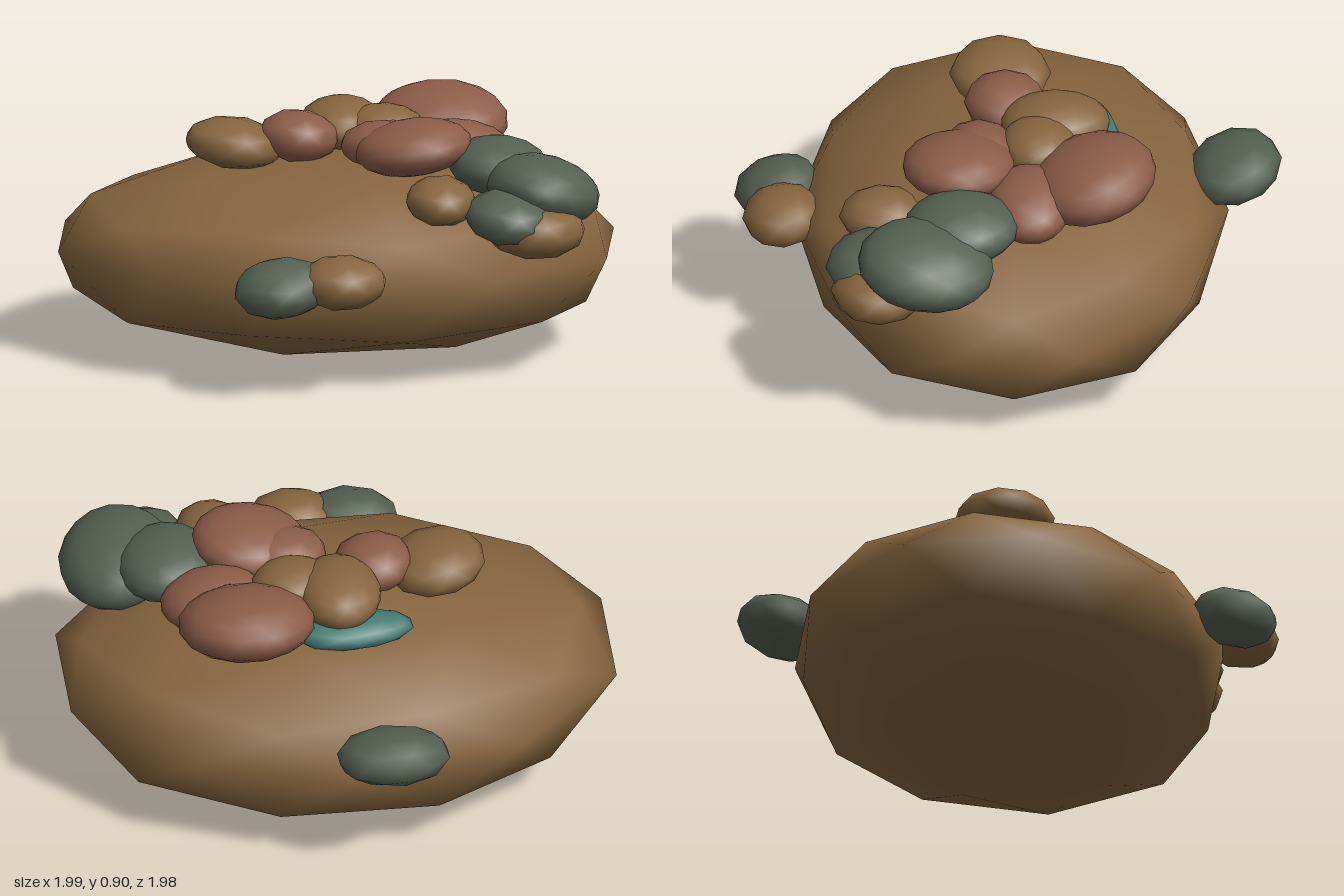
import * as THREE from 'three';
import { mergeVertices } from 'three/addons/utils/BufferGeometryUtils.js';

const flat = (name, color) => Object.assign(new THREE.MeshStandardMaterial({ color }), { name });

// Unit icosphere standing on one of its corners
function icosphere(detail) {
  const g = new THREE.IcosahedronGeometry(1, detail);
  return g.rotateZ(-Math.atan(2 / (1 + Math.sqrt(5))));
}

// Big flattened boulder: a coarse icosphere, squashed, with a fuller lower belt
function boulderGeometry() {
  let g = icosphere(1);
  g.deleteAttribute('normal');
  g.deleteAttribute('uv');
  g = mergeVertices(g, 1e-3);
  const p = g.attributes.position;
  for (let i = 0; i < p.count; i++) {
    const x = p.getX(i), y = p.getY(i), z = p.getZ(i);
    const belt = y < -0.3 && y > -0.6 ? 1 : 0;
    const equator = Math.abs(y) < 0.1 ? 0.03 : 0;
    const slope = y > 0.8 ? 0.03 * x + 0.005 : 0;
    p.setXYZ(i, x * (1.045 + 0.02 * belt), 0.362 + y * 0.36 + equator + slope, z * (0.79 + 0.05 * belt) - 0.012);
  }
  g.computeVertexNormals();
  return g;
}

export function createModel() {
  const model = new THREE.Group();
  model.name = 'pebbledBoulder';
  const brown = flat('brown', 0x86653f);
  const red = flat('rust', 0x8c5c49);
  const green = flat('mossGrey', 0x556051);
  const teal = flat('teal', 0x457b73);

  const boulder = new THREE.Mesh(boulderGeometry(), brown);
  boulder.name = 'boulder';
  model.add(boulder);

  // Pebbles: flattened, slightly tilted stones, coarse or fine
  const coarse = icosphere(1);
  const fine = icosphere(2);
  const pebble = (name, stone, mat, centre, radii, tilt = [0, 0, 0]) => {
    const m = new THREE.Mesh(stone, mat);
    m.name = name;
    m.position.set(...centre);
    m.scale.set(...radii);
    m.rotation.set(...tilt);
    model.add(m);
  };

  // Rim pebbles
  pebble('backPebble', coarse, green, [-0.115, 0.505, -0.825], [0.21, 0.1, 0.175], [0.22, 0, 0]);
  pebble('frontGreenPebble', coarse, green, [-0.155, 0.41, 0.83], [0.175, 0.1, 0.16], [0.25, 0, 0.1]);
  pebble('frontBrownPebble', coarse, brown, [0.065, 0.43, 0.815], [0.165, 0.097, 0.145], [0.1, 0, 0]);

  // Row across the top
  pebble('rightBrownPebble', coarse, brown, [-0.365, 0.755, 0.02], [0.185, 0.09, 0.185], [0, 0, -0.12]);
  pebble('smallRustPebble', coarse, red, [-0.135, 0.78, 0.005], [0.15, 0.095, 0.15], [0, 0, -0.08]);
  pebble('middleBrownPebble', fine, brown, [0.01, 0.785, -0.175], [0.155, 0.1, 0.2]);
  pebble('innerBrownPebble', fine, brown, [0.165, 0.785, -0.11], [0.155, 0.09, 0.14]);
  pebble('tealPebble', coarse, teal, [-0.035, 0.705, -0.305], [0.222, 0.055, 0.1], [0, 0.1, 0]);

  // Rust cluster
  pebble('largeRustPebble', fine, red, [0.36, 0.768, -0.305], [0.25, 0.125, 0.235], [0.22, 0, 0]);
  pebble('leftRustPebble', fine, red, [0.46, 0.725, -0.075], [0.19, 0.1, 0.155], [0, 0, -0.15]);
  pebble('frontRustPebble', fine, red, [0.29, 0.785, 0.18], [0.215, 0.1, 0.205], [0, 0, 0.12]);
  pebble('innerRustPebble', coarse, red, [0.185, 0.775, 0.105], [0.168, 0.09, 0.14]);

  // Cluster spilling over the left front
  pebble('upperGreenPebble', fine, green, [0.6, 0.72, 0.175], [0.182, 0.105, 0.208], [0, 0, -0.08]);
  pebble('largeGreenPebble', fine, green, [0.765, 0.665, 0.305], [0.212, 0.125, 0.25], [-0.12, 0, -0.22]);
  pebble('lowerGreenPebble', coarse, green, [0.655, 0.605, 0.5], [0.165, 0.095, 0.168], [0.12, 0, -0.12]);
  pebble('lowerBrownPebble', coarse, brown, [0.75, 0.55, 0.475], [0.183, 0.1, 0.175]);
  pebble('smallBrownPebble', coarse, brown, [0.405, 0.655, 0.465], [0.13, 0.086, 0.15], [0.1, 0, -0.08]);

  return model;
}
